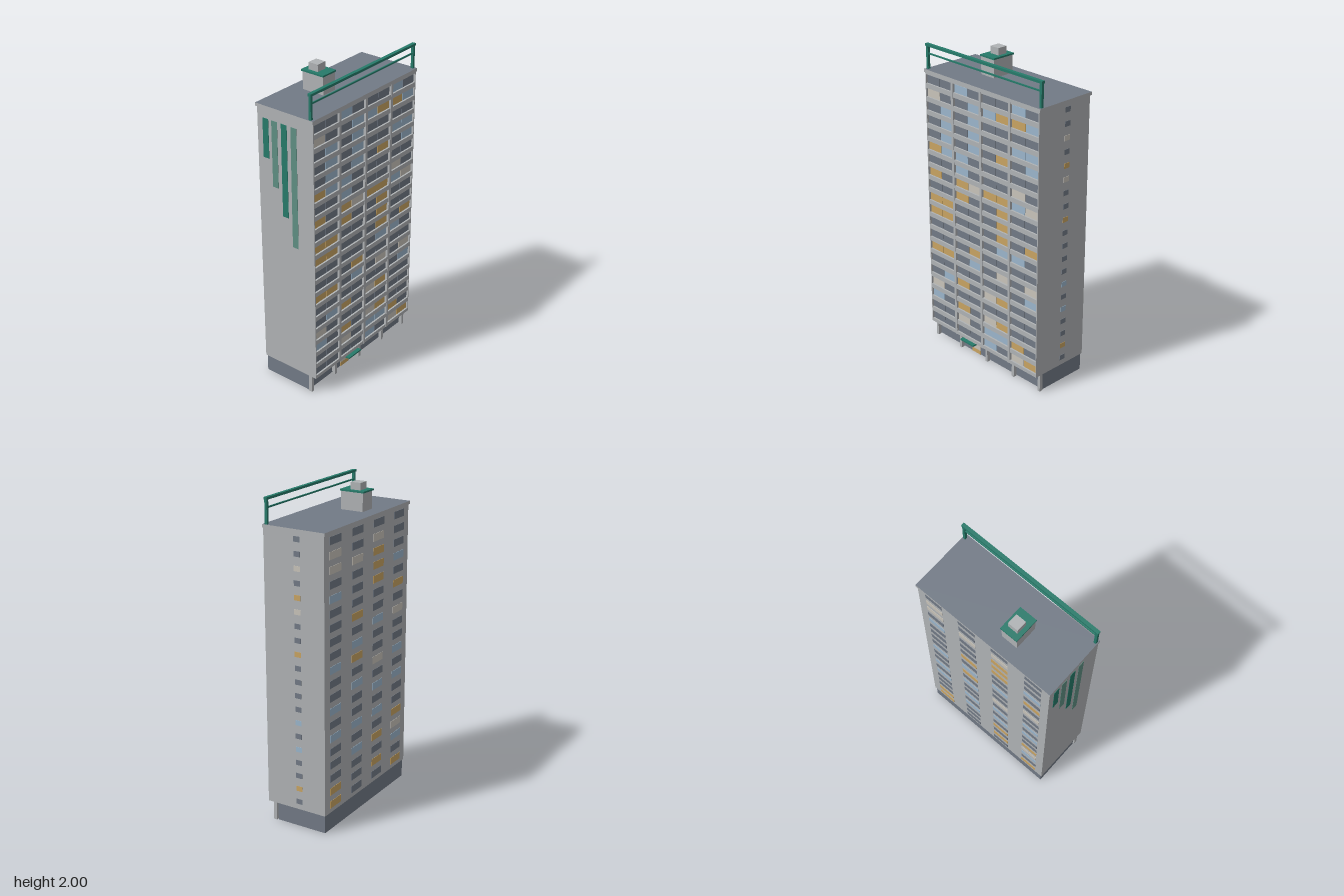
import * as THREE from 'three';

const mat = (name, color) => {
  const m = new THREE.MeshStandardMaterial({ color });
  m.name = name;
  return m;
};

export function createModel() {
  const concrete = mat('concrete', 0xb0b3b5);
  const slate = mat('slate', 0x727a86);
  const recess = mat('recessShadow', 0x565d68);
  const green = mat('green', 0x267a6a);
  const paleGreen = mat('paleGreen', 0x5f8f83);
  const glass = {
    S: slate,
    B: mat('blueGlass', 0x9bb6cc),
    Y: mat('amberGlass', 0xc9a463),
    W: mat('creamGlass', 0xc9c4ba),
  };

  const model = new THREE.Group();
  model.name = 'towerBlock';
  const group = (name) => {
    const g = new THREE.Group();
    g.name = name;
    model.add(g);
    return g;
  };
  // Box given by its extents on each axis
  const box = (name, material, [x0, x1], [y0, y1], [z0, z1], parent = model) => {
    const mesh = new THREE.Mesh(new THREE.BoxGeometry(x1 - x0, y1 - y0, z1 - z0), material);
    mesh.position.set((x0 + x1) / 2, (y0 + y1) / 2, (z0 + z1) / 2);
    mesh.name = name;
    parent.add(mesh);
    return mesh;
  };
  const around = (c, size) => [c - size / 2, c + size / 2];

  const FLOORS = 20;
  const PITCH = 0.0848;
  const floorY = (row) => 1.777 - row * PITCH; // row 0 is the top floor
  const W = 0.476, BACK = -0.21, FRONT = 0.195, CORE = 0.18;

  // Body: core with a dark recessed front, end walls flush with the balcony fronts
  box('core', [concrete, concrete, concrete, concrete, recess, concrete],
    [-W, W], [0.115, 1.82], [BACK, CORE]);
  for (const s of [-1, 1]) {
    box('endWall', concrete, around(s * (W - 0.003), 0.006), [0.115, 1.82], [CORE, FRONT]);
  }
  for (const x of [-0.24, 0, 0.24]) {
    box('bayDivider', concrete, around(x, 0.018), [0.115, 1.82], [CORE, FRONT + 0.002]);
  }

  // Balcony fronts: one band under each row of windows
  const bands = group('balconyBands');
  for (let i = 0; i < FLOORS; i++) {
    const y = floorY(i);
    box('balconyBand', concrete, [-W + 0.006, W - 0.006],
      [i === FLOORS - 1 ? 0.115 : y - 0.058, y - 0.028], [CORE, FRONT], bands);
  }
  box('topBand', concrete, [-W + 0.006, W - 0.006], [1.805, 1.82], [CORE, FRONT], bands);

  // Front windows, two per bay, top floor first
  const frontRows = [
    'SSBSSSBS', 'WSSBBYYB', 'SBSBSSSS', 'SBSBSSBB', 'SBSBSYSB',
    'YBBSSSSS', 'SSBSSSWS', 'YSYWYYBW', 'SSYSSYSS', 'YYSSSYSS',
    'YYSSSYSY', 'SSSSSBBS', 'SSSYSSSS', 'YYSBSWSW', 'SSSSSSSB',
    'SBYSWYSS', 'WSSSSSSS', 'BSYSWYSS', 'SSWSBBYS', 'SSSSBSWY',
  ];
  const frontWindows = group('frontWindows');
  frontRows.forEach((row, i) => [...row].forEach((c, j) => {
    const x = -0.36 + Math.floor(j / 2) * 0.24 + (j % 2 ? 0.055 : -0.055);
    box('frontWindow', glass[c], around(x, 0.106), [floorY(i) - 0.028, floorY(i) + 0.021],
      [CORE, CORE + 0.004], frontWindows);
  }));

  // Back windows: four columns running from the left side to the right side
  const backColumns = [
    'SWWSBSSSSBSSBSBSSSYY', 'SSWSSSYSBYSBSSBSBSSS',
    'SWYYYSSBSSWSBSBSYSYS', 'SSSBSYSWSSBSBSSYWBSY',
  ];
  const backWindows = group('backWindows');
  backColumns.forEach((column, j) => [...column].forEach((c, i) => {
    box('backWindow', glass[c], around(0.36 - j * 0.24, 0.12), around(floorY(i), 0.046),
      [BACK - 0.002, BACK], backWindows);
  }));

  // Small stair windows on the left end wall
  const stairWindows = group('stairWindows');
  [...'SSWSYWSSYSSSSBSBSSYS'].forEach((c, i) => {
    box('stairWindow', glass[c], [W, W + 0.002], around(floorY(i), 0.032),
      around(-0.03, 0.042), stairWindows);
  });

  // Painted stripes hanging down the right end wall
  const stripes = group('paintedStripes');
  [[-0.15, 1.51], [-0.085, 1.34], [-0.015, 1.17], [0.055, 0.99]].forEach(([z, bottom], i) => {
    box('paintedStripe', i % 2 ? paleGreen : green, [-W - 0.002, -W],
      [bottom, 1.755], around(z, 0.042), stripes);
  });

  // Recessed ground floor: four thin walls, open underneath
  const base = group('groundFloor');
  const t = 0.004, baseY = [0, 0.115], bx = 0.468, bz = [-0.205, 0.13];
  box('baseFrontWall', slate, [-bx, bx], baseY, [bz[1] - t, bz[1]], base);
  box('baseBackWall', slate, [-bx, bx], baseY, [bz[0], bz[0] + t], base);
  for (const s of [-1, 1]) {
    box('baseEndWall', slate, around(s * (bx - t / 2), t), baseY, [bz[0] + t, bz[1] - t], base);
  }
  for (const x of [-0.466, -0.24, 0, 0.24, 0.466]) {
    box('column', concrete, around(x, 0.018), baseY, [0.137, 0.16], base);
  }

  // Entrance
  box('doorGlass', glass.W, [-0.16, -0.08], [0.028, 0.085], [0.13, 0.134]);
  box('doorPanel', glass.Y, [-0.16, -0.08], [0, 0.028], [0.13, 0.134]);
  box('entranceCanopy', green, [-0.18, -0.06], [0.104, 0.113], [0.13, 0.218]);

  // Roof slab with a slate top
  box('roofSlab', [concrete, concrete, slate, concrete, concrete, concrete],
    [-0.483, 0.483], [1.815, 1.835], [-0.217, 0.197]);

  // Lift housing
  box('liftHousing', concrete, [-0.175, -0.068], [1.835, 1.946], [-0.13, 0.02]);
  box('liftHousingCap', green, [-0.18, -0.064], [1.946, 1.956], [-0.138, 0.024]);
  box('liftVent', concrete, [-0.155, -0.088], [1.956, 2], [-0.102, -0.035]);

  // Roof frame along the front edge
  const frame = group('roofFrame');
  for (const s of [-1, 1]) {
    box('framePost', green, around(s * 0.47, 0.016), [1.835, 1.975], around(0.174, 0.016), frame);
  }
  box('frameTopRail', green, [-0.481, 0.481], [1.975, 1.99], around(0.174, 0.022), frame);
  box('frameLowerRail', green, [-0.47, 0.47], [1.925, 1.934], around(0.174, 0.008), frame);

  return model;
}
